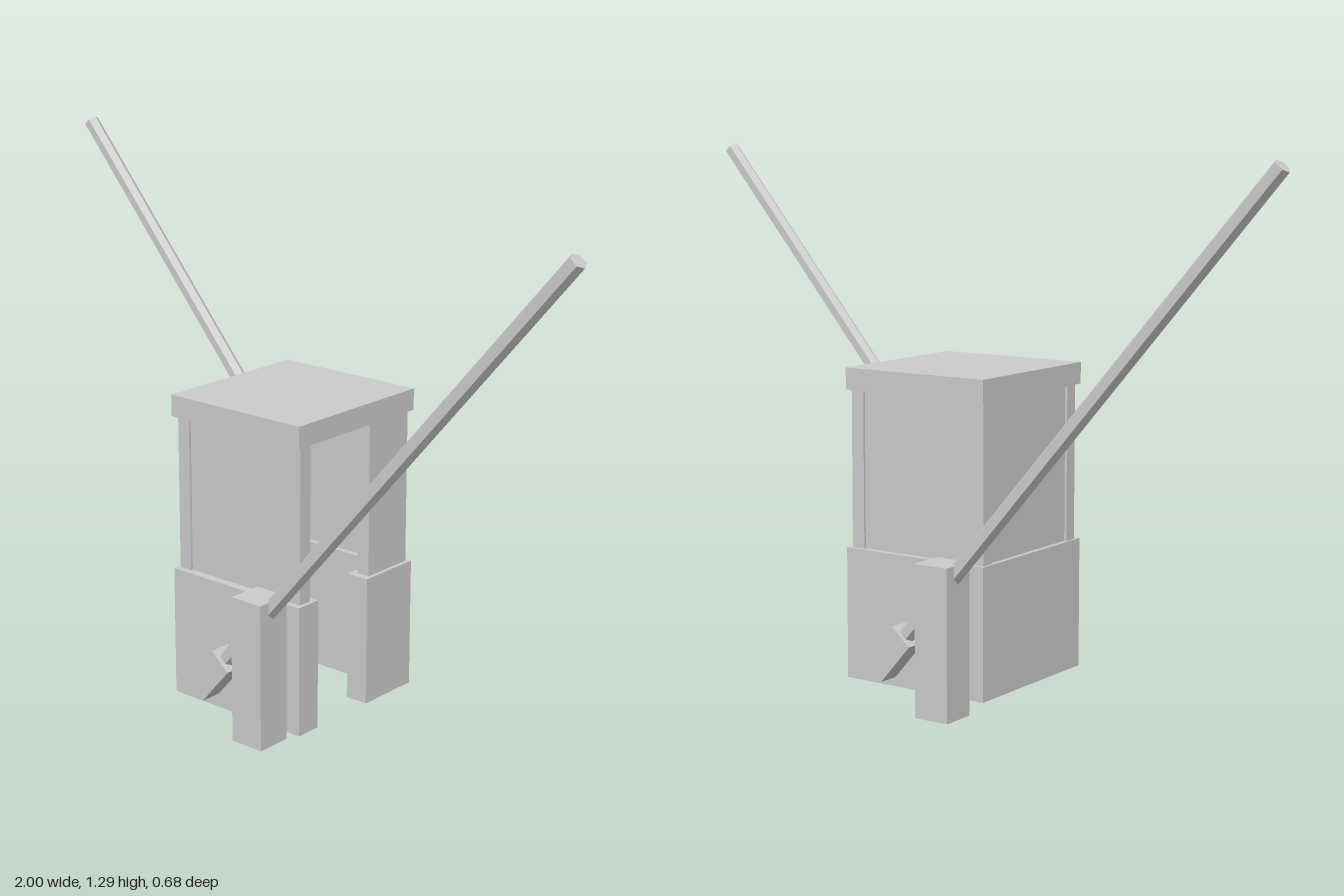
import * as THREE from 'three';

const material = new THREE.MeshStandardMaterial({ color: 0xcccccc, flatShading: true, side: THREE.DoubleSide });

// Box given by its min and max corners; openBottom drops the underside
function box(parent, name, [x0, y0, z0], [x1, y1, z1], openBottom = false) {
  const geometry = new THREE.BoxGeometry(x1 - x0, y1 - y0, z1 - z0);
  if (openBottom) {
    const index = Array.from(geometry.index.array);
    index.splice(18, 6);
    geometry.setIndex(index);
    geometry.clearGroups();
  }
  const mesh = new THREE.Mesh(geometry, material);
  mesh.position.set((x0 + x1) / 2, (y0 + y1) / 2, (z0 + z1) / 2);
  mesh.name = name;
  parent.add(mesh);
  return mesh;
}

function createBooth() {
  const booth = new THREE.Group();
  booth.name = 'guardBooth';

  // Thick lower walls, with a doorway on the +x side
  const y0 = 0.012, y1 = 0.335, t = 0.06;
  const L = -0.18, R = 0.22, B = -0.18, F = 0.238;
  box(booth, 'lowerFrontWall', [L, y0, F - t], [R, y1, F], true);
  box(booth, 'lowerBackWall', [L, y0, B], [R, y1, B + t], true);
  box(booth, 'lowerRightWall', [L, y0, B + t], [L + t, y1, F - t], true);
  box(booth, 'lowerDoorSideWall', [R - t, y0, B + t], [R, y1, -0.01], true);
  box(booth, 'doorJamb', [R - t, y0, 0.17], [R, y1, F - t], true);

  // Upper storey: corner posts with slightly recessed panels
  const top = 0.72, p = 0.035, inset = 0.006;
  const l = -0.174, r = 0.21, b = -0.17, f = 0.222;
  for (const x of [l, r - p])
    for (const z of [b, f - p])
      box(booth, 'cornerPost', [x, y1, z], [x + p, top, z + p]);
  box(booth, 'frontPanel', [l + p, y1, f - p], [r - p, top, f - inset]);
  box(booth, 'backPanel', [l + p, y1, b + inset], [r - p, top, b + p]);
  box(booth, 'rightPanel', [l + inset, y1, b + p], [l + p, top, f - p]);
  box(booth, 'doorSidePanel', [r - p, y1, b + p], [r, top, -0.028]);

  box(booth, 'roof', [L, top, B], [R, 0.773, F]);
  return booth;
}

function createBarrier() {
  const barrier = new THREE.Group();
  barrier.name = 'barrier';
  box(barrier, 'barrierPost', [0.1, 0, 0.248], [0.19, 0.362, 0.338], true);

  // Raised arm and counterweight share one tilted axis
  const z = 0.293;
  const start = new THREE.Vector3(0.005, 0.132, z);
  const tip = new THREE.Vector3(0.985, 1.275, z);
  const direction = tip.clone().sub(start);
  const tilt = -Math.atan2(direction.x, direction.y);

  const armGeometry = new THREE.CylinderGeometry(0.02, 0.02, direction.length(), 6);
  armGeometry.rotateY(Math.PI / 6);
  const arm = new THREE.Mesh(armGeometry, material);
  arm.name = 'barrierArm';
  arm.position.copy(start).add(tip).multiplyScalar(0.5);
  arm.rotation.z = tilt;

  const weight = new THREE.Mesh(new THREE.BoxGeometry(0.065, 0.125, 0.056), material);
  weight.name = 'counterweight';
  weight.position.copy(start);
  weight.rotation.z = tilt;

  barrier.add(arm, weight);
  return barrier;
}

export function createModel() {
  const model = new THREE.Group();
  model.name = 'checkpoint';
  model.add(createBooth());

  // Second barrier is the first one turned half way round
  const frontBarrier = createBarrier();
  frontBarrier.name = 'frontBarrier';
  const backBarrier = createBarrier();
  backBarrier.name = 'backBarrier';
  backBarrier.rotation.y = Math.PI;
  model.add(frontBarrier, backBarrier);
  return model;
}
